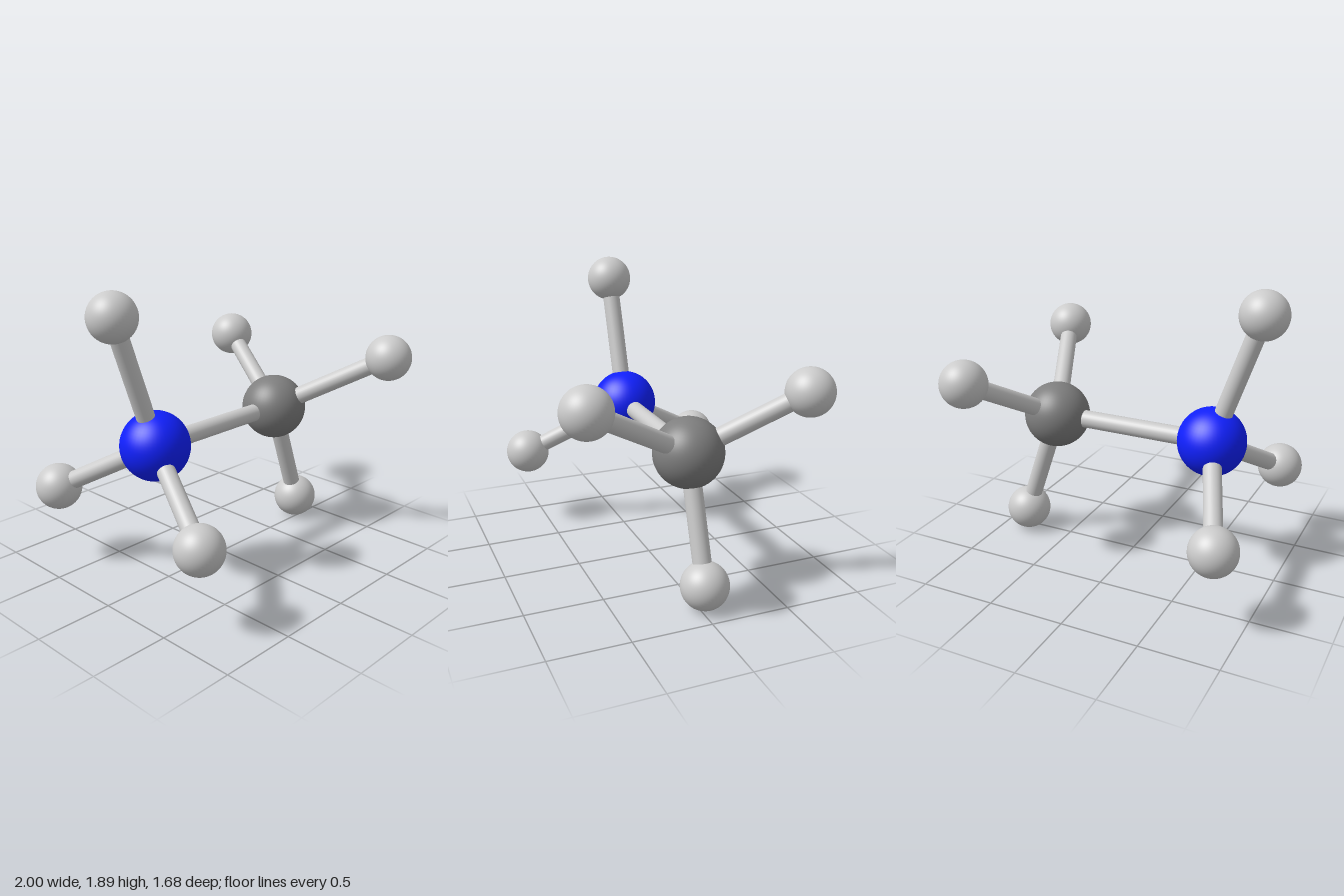
import * as THREE from 'three';

const BOND_RADIUS = 0.058;
const UP = new THREE.Vector3(0, 1, 0);

export function createModel() {
  const model = new THREE.Group();
  const paint = (color) => new THREE.MeshStandardMaterial({ color });
  const grey = paint(0xcccccc);

  function addAtom(name, position, radius, material) {
    const atom = new THREE.Mesh(new THREE.SphereGeometry(radius, 48, 32), material);
    atom.name = name;
    atom.position.copy(position);
    model.add(atom);
  }

  // Rod running from one atom centre to another
  function addBond(name, from, to) {
    const axis = to.clone().sub(from);
    const rod = new THREE.CylinderGeometry(BOND_RADIUS, BOND_RADIUS, axis.length(), 32);
    const bond = new THREE.Mesh(rod, grey);
    bond.name = name;
    bond.position.copy(from).addScaledVector(axis, 0.5);
    bond.quaternion.setFromUnitVectors(UP, axis.normalize());
    model.add(bond);
  }

  // Two large centres, each with three small atoms around it
  const clusters = [
    {
      name: 'blue', color: 0x1020ff, centre: [-0.557, 0.908, -0.034],
      tips: [[-0.85, 1.745, -0.034], [-0.825, 0.532, 0.618], [-0.825, 0.532, -0.688]],
    },
    {
      name: 'dark', color: 0x7f7f7f, centre: [0.553, 0.908, -0.034],
      tips: [[0.816, 0.151, -0.034], [0.848, 1.329, 0.688], [0.816, 1.284, -0.688]],
    },
  ];

  const centres = clusters.map(({ name, color, centre, tips }) => {
    const middle = new THREE.Vector3(...centre);
    addAtom(`${name}CentreAtom`, middle, 0.219, paint(color));
    tips.forEach((tip, i) => {
      const end = new THREE.Vector3(...tip);
      addAtom(`${name}OuterAtom${i + 1}`, end, 0.15, grey);
      addBond(`${name}OuterBond${i + 1}`, middle, end);
    });
    return middle;
  });

  // Rod joining the two centres
  addBond('centralBond', centres[0], centres[1]);

  return model;
}
